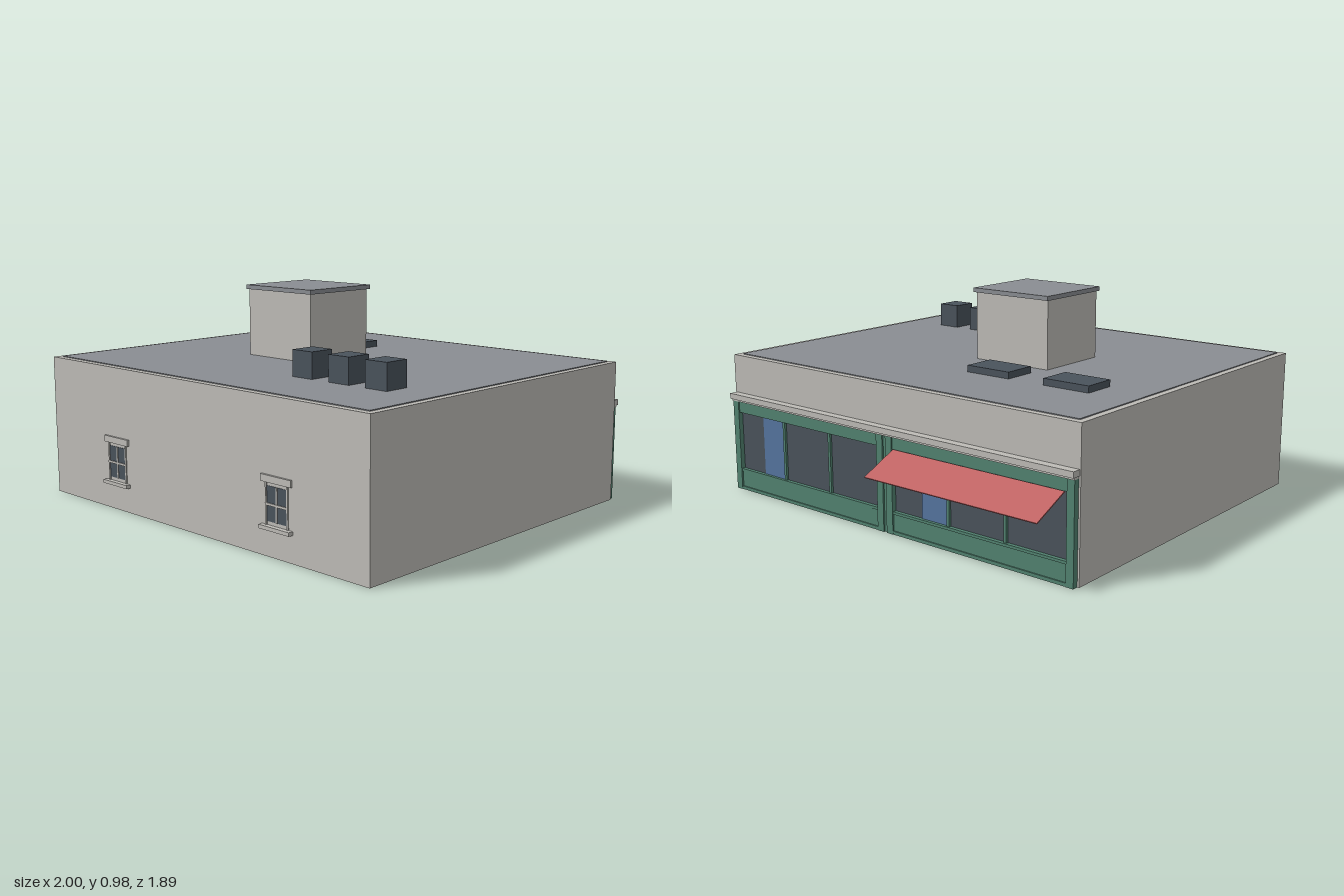
import * as THREE from 'three';

const mat = (name, color) => {
  const m = new THREE.MeshStandardMaterial({ color });
  m.name = name;
  return m;
};

export function createModel() {
  const root = new THREE.Group();
  root.name = 'shopBuilding';
  const stone = mat('stone', 0xbebcb7);
  const roofing = mat('roofing', 0x8a8d92);
  const slate = mat('darkSlate', 0x4a535c);
  const green = mat('greenPaint', 0x528270);
  const blue = mat('bluePanel', 0x55759f);
  const red = mat('redCanvas', 0xc06464);

  // Box given by its extents on each axis
  const box = (parent, name, material, x0, x1, y0, y1, z0, z1) => {
    const mesh = new THREE.Mesh(new THREE.BoxGeometry(x1 - x0, y1 - y0, z1 - z0), material);
    mesh.position.set((x0 + x1) / 2, (y0 + y1) / 2, (z0 + z1) / 2);
    mesh.name = name;
    parent.add(mesh);
    return mesh;
  };
  const group = (name, parent = root) => {
    const g = new THREE.Group();
    g.name = name;
    parent.add(g);
    return g;
  };

  // Walls and roof
  box(root, 'walls', stone, -1, 1, 0, 0.648, -0.75, 0.92);
  box(root, 'roofDeck', roofing, -0.97, 0.97, 0.646, 0.652, -0.72, 0.89);

  // Stair house on the roof
  const stair = group('stairHouse');
  box(stair, 'stairWalls', stone, -0.365, 0.038, 0.65, 0.962, -0.115, 0.255);
  box(stair, 'stairCap', roofing, -0.375, 0.047, 0.962, 0.982, -0.13, 0.265);

  // Roof equipment
  for (const x of [0.295, 0.503, 0.706]) {
    box(root, 'ventUnit', slate, x - 0.057, x + 0.057, 0.65, 0.767, 0.443, 0.563);
  }
  for (const x of [-0.645, -0.23]) {
    box(root, 'skylight', slate, x - 0.115, x + 0.115, 0.65, 0.682, -0.363, -0.208);
  }

  // Small front windows
  for (const x of [-0.518, 0.514]) {
    const win = group('frontWindow');
    win.position.set(x, 0, 0.92);
    box(win, 'lintel', stone, -0.085, 0.085, 0.305, 0.334, 0, 0.01);
    box(win, 'sill', stone, -0.086, 0.086, 0.115, 0.131, 0, 0.022);
    box(win, 'glass', slate, -0.056, 0.056, 0.146, 0.29, 0, 0.002);
    box(win, 'mullion', stone, -0.004, 0.004, 0.146, 0.29, 0, 0.005);
    box(win, 'rail', stone, -0.064, 0.064, 0.211, 0.221, 0, 0.006);
    for (const s of [-1, 1]) {
      box(win, 'jamb', stone, s * 0.06 - 0.004, s * 0.06 + 0.004, 0.131, 0.305, 0, 0.005);
    }
  }

  // Shop fronts on the back wall, two equal bays
  for (const x of [0.5, -0.5]) {
    const bay = group('shopFront');
    bay.position.set(x, 0, -0.75);
    box(bay, 'shopGlass', slate, -0.46, 0.46, 0.09, 0.39, -0.004, 0);
    box(bay, 'doorPanel', blue, 0.16, 0.3, 0.095, 0.375, -0.008, -0.004);
    box(bay, 'basePanel', green, -0.46, 0.46, 0.015, 0.1, -0.018, 0);
    box(bay, 'plinth', green, -0.49, 0.49, 0, 0.015, -0.024, 0);
    box(bay, 'baseRail', green, -0.46, 0.46, 0.09, 0.102, -0.022, 0);
    box(bay, 'fascia', green, -0.49, 0.49, 0.378, 0.435, -0.02, 0);
    for (const m of [-0.15, 0.15]) {
      box(bay, 'shopMullion', green, m - 0.007, m + 0.007, 0.1, 0.38, -0.015, 0);
    }
    for (const s of [-1, 1]) {
      box(bay, 'pilaster', green, s * 0.473 - 0.018, s * 0.473 + 0.018, 0, 0.435, -0.026, 0);
    }
  }
  box(root, 'centrePost', green, -0.01, 0.01, 0, 0.435, -0.768, -0.75);

  // Stepped cornice over the shop fronts
  const cornice = group('cornice');
  box(cornice, 'corniceUpper', stone, -0.995, 0.995, 0.442, 0.468, -0.79, -0.75);
  box(cornice, 'corniceLower', stone, -0.992, 0.992, 0.432, 0.442, -0.78, -0.75);

  // Sloping awning
  const awning = box(root, 'awning', red, -0.945, -0.055, -0.0025, 0.0025, -0.094, 0.094);
  awning.position.set(-0.5, 0.338, -0.86);
  awning.rotation.x = -Math.atan2(0.08, 0.17);

  return root;
}
